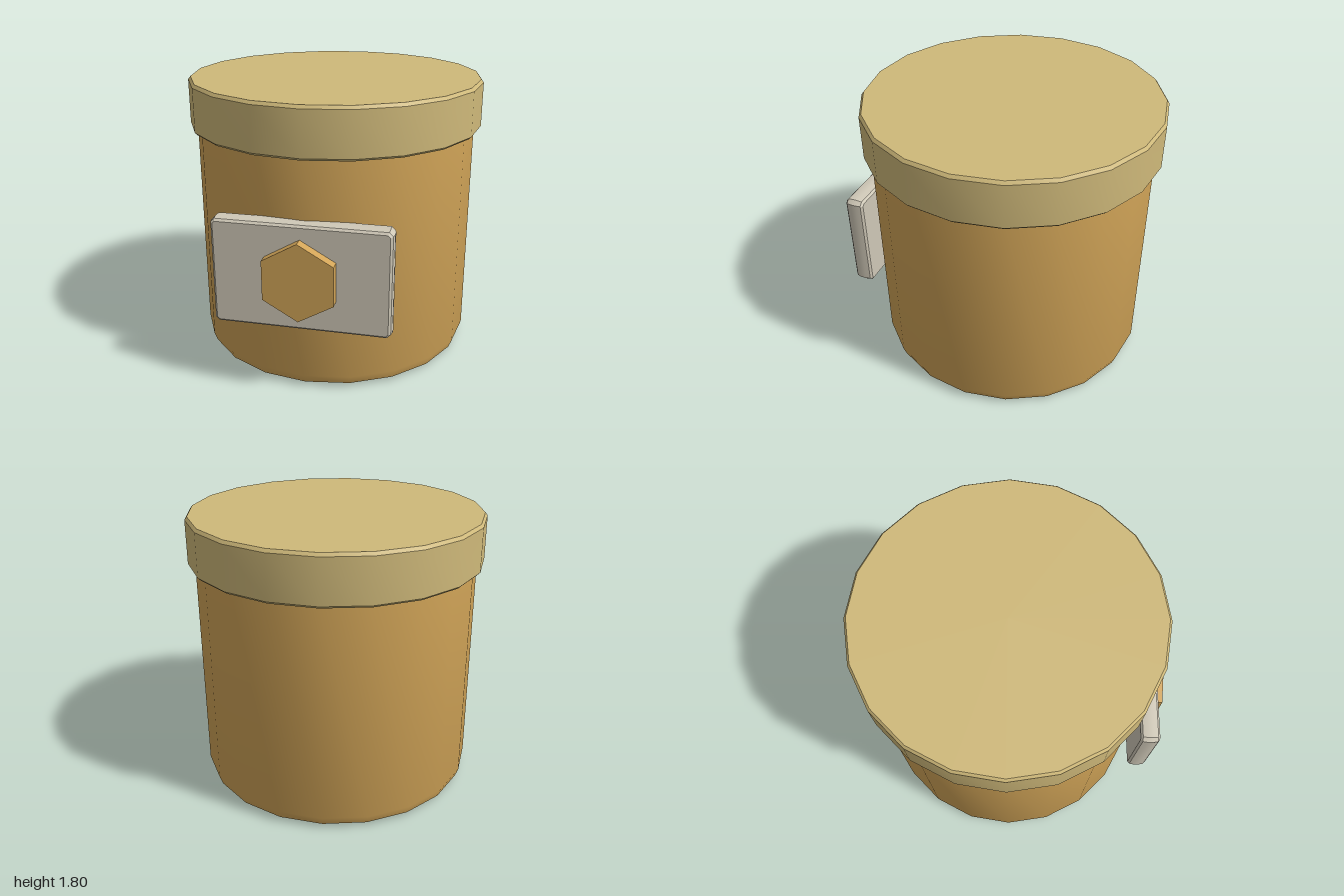
import * as THREE from 'three';
import { toCreasedNormals } from 'three/addons/utils/BufferGeometryUtils.js';

const SIDES = 20;
const CENTER_Z = -0.045;

function addMesh(group, name, geometry, material, crease = 0.5) {
  const mesh = new THREE.Mesh(toCreasedNormals(geometry, crease), material);
  mesh.name = name;
  group.add(mesh);
  return mesh;
}

// Turned part from [radius, y] pairs, listed bottom to top
function turned(profile) {
  return new THREE.LatheGeometry(profile.map(([r, y]) => new THREE.Vector2(r, y)), SIDES);
}

// Rectangle with cut corners, centred on the origin
function cutRectangle(hw, hh, c) {
  return new THREE.Shape([
    [hw - c, -hh], [hw, -hh + c], [hw, hh - c], [hw - c, hh],
    [-hw + c, hh], [-hw, hh - c], [-hw, -hh + c], [-hw + c, -hh],
  ].map(([x, y]) => new THREE.Vector2(x, y)));
}

export function createModel() {
  const paint = (name, color) => {
    const m = new THREE.MeshStandardMaterial({ color });
    m.name = name;
    return m;
  };
  const amber = paint('amber', 0xd2a558);
  const straw = paint('straw', 0xcfb97a);
  const paleGrey = paint('pale grey', 0xcfc8b7);

  const model = new THREE.Group();
  model.name = 'canister';

  // Body with a rounded foot
  const body = addMesh(model, 'body', turned([
    [0, 0], [0.845, 0], [0.89, 0.025], [0.91, 0.08], [0.91, 1.52], [0, 1.52],
  ]), amber);
  body.position.z = CENTER_Z;

  // Overhanging lid with narrow bevels
  const lid = addMesh(model, 'lid', turned([
    [0, 1.49], [0.94, 1.49], [0.955, 1.505], [0.955, 1.785], [0.94, 1.805], [0, 1.805],
  ]), straw);
  lid.position.z = CENTER_Z;

  // Bevelled label plate on the front
  const plate = addMesh(model, 'labelPlate', new THREE.ExtrudeGeometry(
    cutRectangle(0.525, 0.32, 0.015),
    { depth: 0.035, bevelThickness: 0.045, bevelSize: 0.02, bevelSegments: 2 },
  ), paleGrey);
  plate.position.set(0, 0.78, 0.855);

  // Hexagonal boss on the plate, one corner up
  const hexagon = new THREE.CylinderGeometry(0.248, 0.248, 0.09, 6).rotateX(Math.PI / 2);
  const boss = addMesh(model, 'hexagonBoss', hexagon, amber);
  boss.position.set(0, 0.78, 0.955);

  return model;
}
